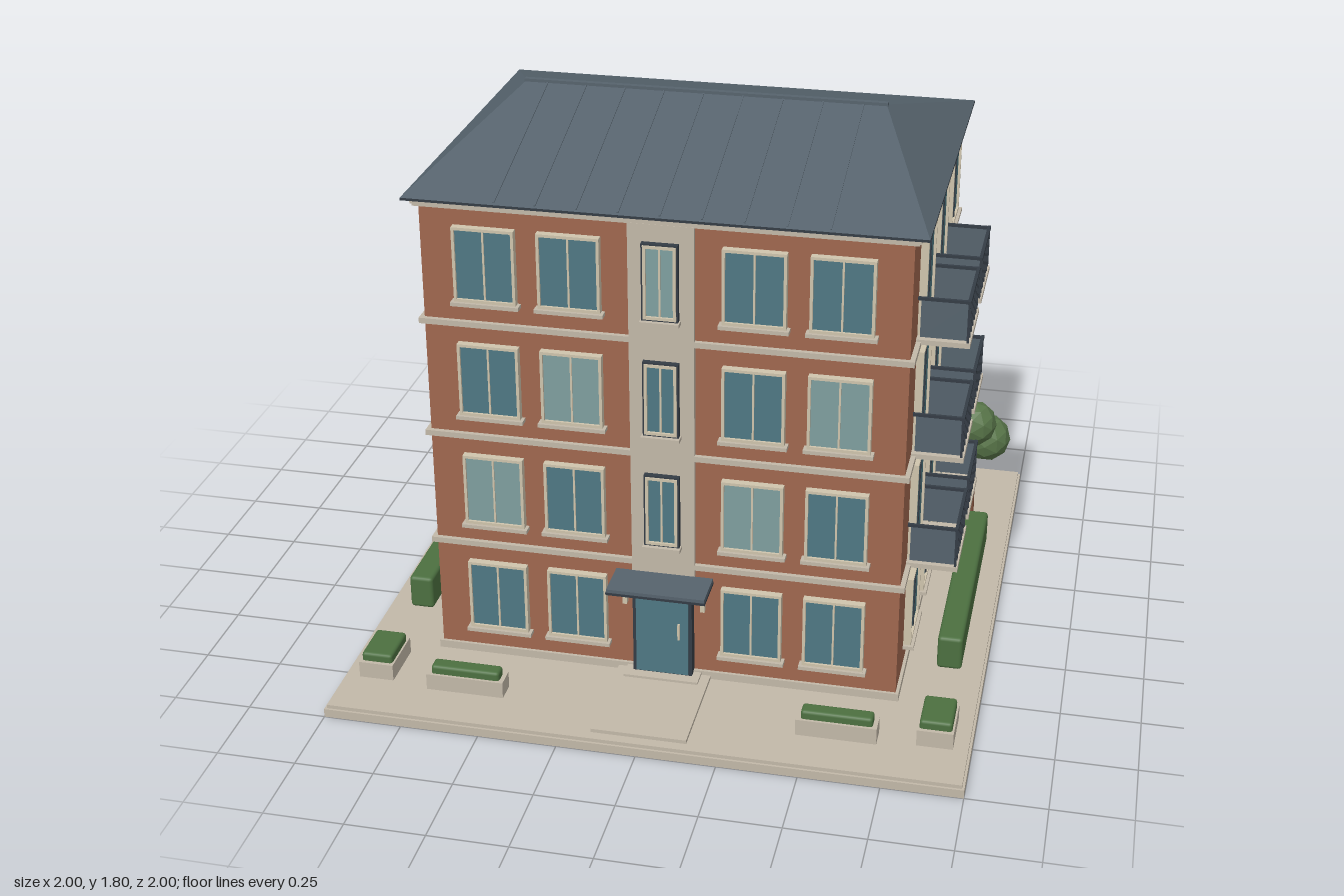
import * as THREE from 'three';
import { RoundedBoxGeometry } from 'three/addons/geometries/RoundedBoxGeometry.js';

const material = (name, color, extra = {}) => {
  const m = new THREE.MeshStandardMaterial({ color, ...extra });
  m.name = name;
  return m;
};

export function createModel() {
  const brick = material('brick', 0xa0674f);
  const stone = material('stone', 0xc2b8a8);
  const trim = material('window trim', 0xcfc4ac);
  const slate = material('slate', 0x56636d);
  const metal = material('dark metal', 0x343c45);
  const glass = material('glass', 0x4f7883);
  const paleGlass = material('pale glass', 0x7f9f9f);
  const hedgeGreen = material('hedge green', 0x4c7040);
  const leafGreen = material('leaf green', 0x587549, { flatShading: true });
  const bark = material('bark', 0x855540);

  const model = new THREE.Group();
  model.name = 'apartmentBlock';

  const add = (parent, name, geometry, mat, x = 0, y = 0, z = 0) => {
    const mesh = new THREE.Mesh(geometry, mat);
    mesh.name = name;
    mesh.position.set(x, y, z);
    parent.add(mesh);
    return mesh;
  };
  const box = (parent, name, mat, w, h, d, x, y, z) =>
    add(parent, name, new THREE.BoxGeometry(w, h, d), mat, x, y, z);
  const rounded = (parent, name, mat, w, h, d, x, y, z, r) =>
    add(parent, name, new RoundedBoxGeometry(w, h, d, 2, r), mat, x, y, z);
  const group = (name, x, y, z, turn = 0, parent = model) => {
    const g = new THREE.Group();
    g.name = name;
    g.position.set(x, y, z);
    g.rotation.y = turn;
    parent.add(g);
    return g;
  };

  const W = 1.48, D = 1.18, FLOOR = 0.382;

  // Ground slab and entrance path
  box(model, 'groundSlab', stone, 2, 0.028, 2, 0, 0.014, 0);
  box(model, 'paving', stone, 1.985, 0.012, 1.985, 0, 0.034, 0);
  box(model, 'entrancePath', stone, 0.3, 0.012, 0.36, 0, 0.046, 0.78);

  // Walls, plinth and floor bands
  box(model, 'walls', brick, W, 1.55, D, 0, 0.825, 0);
  box(model, 'plinth', stone, W + 0.02, 0.028, D + 0.02, 0, 0.052, 0);
  for (let i = 1; i <= 4; i++) {
    box(model, 'floorBand', stone, W + 0.03, 0.018, D + 0.03, 0, 0.07 + FLOOR * i - 0.006, 0);
  }
  box(model, 'stairBay', stone, 0.2, 1.17, 0.02, 0, 1.0, D / 2 + 0.006);

  // Window facing local +z, with its centre on the wall surface
  const addWindow = (x, y, z, turn, w, h, pane = glass, border = trim, bar = trim) => {
    const g = group('window', x, y, z, turn);
    const t = 0.009;
    for (const s of [-1, 1]) {
      box(g, 'windowJamb', border, t, h, 0.024, s * (w - t) / 2, 0, 0.012);
      box(g, 'windowRail', border, w, t, 0.024, 0, s * (h - t) / 2, 0.012);
    }
    box(g, 'windowPane', pane, w - t, h - t, 0.008, 0, 0, 0.012);
    box(g, 'windowMullion', bar, 0.006, h - t, 0.008, 0, 0, 0.016);
    return g;
  };
  const addSill = (g, w, h) => box(g, 'windowSill', stone, w + 0.02, 0.012, 0.034, 0, -h / 2 - 0.006, 0.017);

  const isPale = (floor, x) =>
    (floor === 1 && (x === -0.54 || x === 0.28)) || (floor === 2 && (x === -0.28 || x === 0.54));
  const right = Math.PI / 2;

  for (let floor = 0; floor < 4; floor++) {
    const y = 0.262 + FLOOR * floor;
    // Front
    for (const x of [-0.54, -0.28, 0.28, 0.54]) {
      addSill(addWindow(x, y, D / 2, 0, 0.192, 0.24, isPale(floor, x) ? paleGlass : glass), 0.192, 0.24);
    }
    if (floor > 0) {
      const pane = floor === 3 ? paleGlass : glass;
      const g = addWindow(0, y, D / 2 + 0.014, 0, 0.1, 0.235, pane, trim);
      for (const s of [-1, 1]) {
        box(g, 'stairWindowSurround', metal, 0.005, 0.245, 0.02, s * 0.053, 0, 0.01);
        box(g, 'stairWindowSurround', metal, 0.11, 0.005, 0.02, 0, s * 0.12, 0.01);
      }
      addSill(g, 0.1, 0.245);
    }
    // Back and left
    for (const x of [-0.52, 0, 0.52]) {
      addSill(addWindow(x, y, -D / 2, Math.PI, 0.21, 0.24, glass, trim, metal), 0.21, 0.24);
    }
    for (const z of [-0.36, 0, 0.36]) {
      addSill(addWindow(-W / 2, y, z, -right, 0.21, 0.24, glass, trim, metal), 0.21, 0.24);
    }
    // Right: plain windows, or balcony doors above the ground floor
    addSill(addWindow(W / 2, y, -0.36, right, 0.21, 0.24, glass, trim, metal), 0.21, 0.24);
    for (const z of [0.325, -0.012]) {
      if (floor === 0) {
        addSill(addWindow(W / 2, y, z, right, 0.21, 0.24, glass, trim, metal), 0.21, 0.24);
        continue;
      }
      addWindow(W / 2, y - 0.018, z, right, 0.21, 0.325, glass, trim, metal);
      addBalcony(0.07 + FLOOR * floor, z);
    }
  }

  // Balcony with solid ends and a barred front
  function addBalcony(y, z) {
    const g = group('balcony', W / 2, y, z);
    box(g, 'balconyFloor', stone, 0.16, 0.016, 0.27, 0.08, 0.002, 0);
    for (const s of [-1, 1]) {
      box(g, 'balconyEndPanel', slate, 0.145, 0.12, 0.006, 0.083, 0.078, s * 0.128);
      box(g, 'balconyEndRail', metal, 0.155, 0.009, 0.01, 0.078, 0.141, s * 0.128);
    }
    box(g, 'balconyHandrail', metal, 0.01, 0.01, 0.27, 0.152, 0.141, 0);
    for (let i = 0; i < 7; i++) {
      box(g, 'balconyBar', metal, 0.007, 0.135, 0.007, 0.152, 0.072, -0.128 + i * 0.0427);
    }
  }

  // Entrance: framed door, handle, lamps and canopy
  const entrance = group('entrance', 0, 0, D / 2);
  box(entrance, 'doorFrame', metal, 0.19, 0.34, 0.036, 0, 0.222, 0.018);
  box(entrance, 'door', glass, 0.168, 0.315, 0.008, 0, 0.222, 0.037);
  box(entrance, 'doorHandle', trim, 0.007, 0.055, 0.012, 0.055, 0.225, 0.045);
  box(entrance, 'doorStep', stone, 0.24, 0.02, 0.07, 0, 0.05, 0.035);
  box(entrance, 'canopy', slate, 0.31, 0.018, 0.135, 0, 0.397, 0.065);
  box(entrance, 'canopyEdge', metal, 0.314, 0.008, 0.138, 0, 0.391, 0.065);
  for (const s of [-1, 1]) {
    box(entrance, 'wallLamp', trim, 0.014, 0.04, 0.02, s * 0.125, 0.31, 0.01);
  }

  // Hipped roof
  const ex = 0.785, ez = 0.622, ey = 1.612, rx = 0.57, ry = 1.79;
  const A = [-ex, ey, ez], B = [ex, ey, ez], C = [ex, ey, -ez], E = [-ex, ey, -ez];
  const L = [-rx, ry, 0], R = [rx, ry, 0];
  const roofGeometry = new THREE.BufferGeometry();
  const corners = [A, B, R, A, R, L, C, E, L, C, L, R, B, C, R, E, A, L];
  roofGeometry.setAttribute('position', new THREE.Float32BufferAttribute(corners.flat(), 3));
  roofGeometry.computeVertexNormals();
  add(model, 'roof', roofGeometry, slate);
  box(model, 'eaves', metal, 2 * ex, 0.008, 2 * ez, 0, ey - 0.004, 0);
  box(model, 'cornice', stone, W + 0.04, 0.014, D + 0.04, 0, 1.598, 0);
  box(model, 'ridgeCap', slate, 2 * rx + 0.01, 0.014, 0.018, 0, ry, 0);

  // Standing seams on the front slope
  const slope = Math.atan2(ry - ey, ez);
  for (let i = -4; i <= 4; i++) {
    const seam = box(model, 'roofSeam', slate, 0.005, 0.006, Math.hypot(ry - ey, ez) - 0.02,
      i * 0.125, (ry + ey) / 2, ez / 2);
    seam.rotation.x = slope;
  }

  // Garden: hedges, planters and trees, mirrored left and right
  for (const s of [-1, 1]) {
    rounded(model, 'hedge', hedgeGreen, 0.08, 0.115, 0.85, s * 0.885, 0.097, -0.04, 0.012);
    box(model, 'longPlanter', stone, 0.25, 0.055, 0.068, s * 0.59, 0.067, 0.808);
    rounded(model, 'longPlanterShrub', hedgeGreen, 0.222, 0.045, 0.05, s * 0.59, 0.1, 0.808, 0.01);
    box(model, 'squarePlanter', stone, 0.112, 0.055, 0.17, s * 0.89, 0.067, 0.735);
    rounded(model, 'squarePlanterShrub', hedgeGreen, 0.1, 0.045, 0.145, s * 0.89, 0.1, 0.735, 0.01);

    const tree = group('tree', s * 0.847, 0.04, -0.612);
    add(tree, 'trunk', new THREE.CylinderGeometry(0.011, 0.016, 0.3, 8), bark, 0, 0.15, 0);
    const crown = [[0.045, 0.33, 0.035, 0.08], [-0.045, 0.32, 0.022, 0.083], [0, 0.395, -0.025, 0.08]];
    for (const [x, y, z, r] of crown) {
      add(tree, 'foliage', new THREE.IcosahedronGeometry(r, 1), leafGreen, -s * x, y, -z);
    }
  }

  return model;
}
